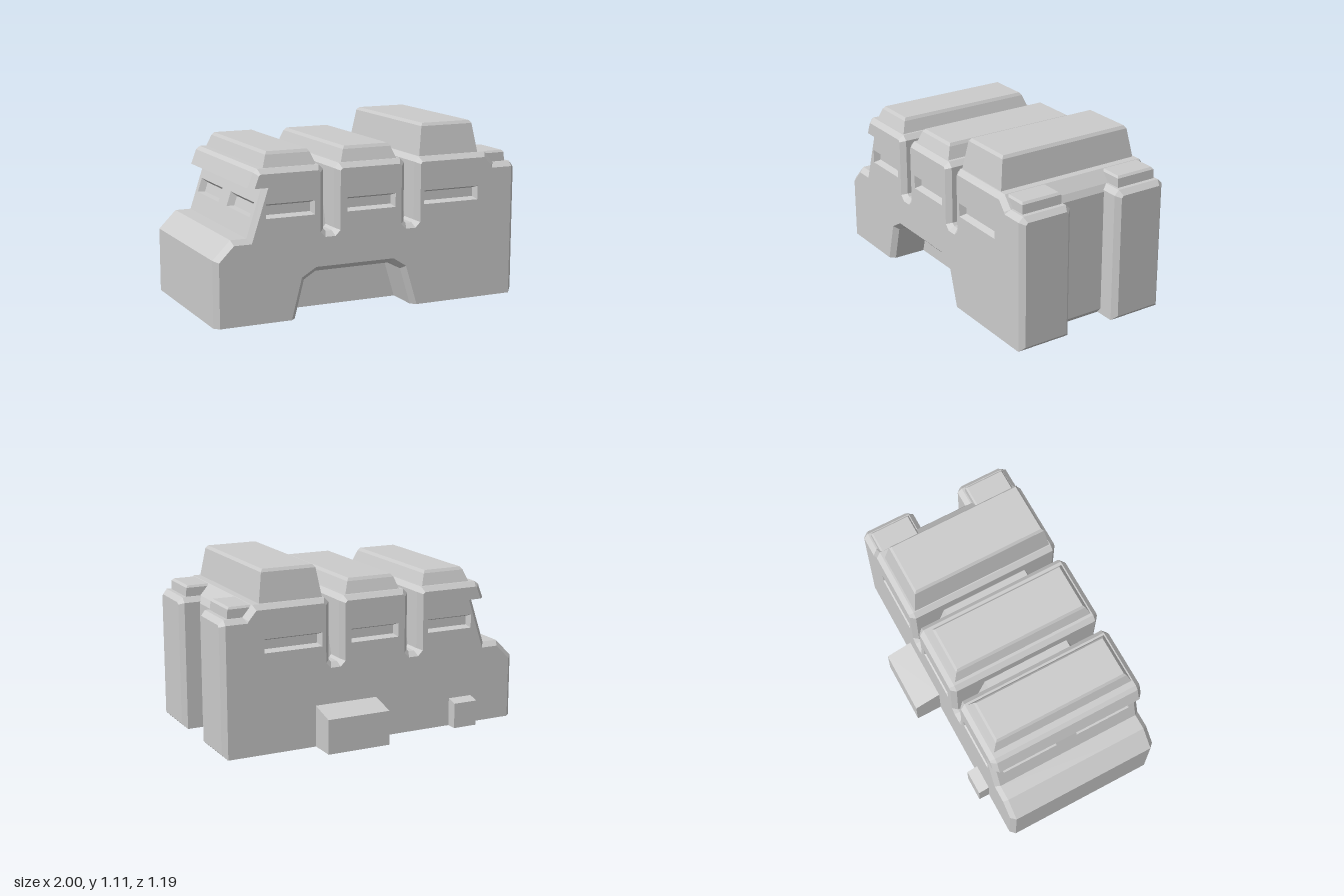
import * as THREE from 'three';

const material = new THREE.MeshStandardMaterial({ color: 0xcccccc, flatShading: true });
const BACK = -0.43, FRONT = 0.59, BEVEL = 0.03, ARCH_BACK = 0.35;

function addMesh(parent, name, geometry) {
  const mesh = new THREE.Mesh(geometry, material);
  mesh.name = name;
  parent.add(mesh);
  return mesh;
}

// Joins loops of [x, y, z] points with quads; convex end caps are optional
function loft(loops, { skip = -1, caps = false } = {}) {
  const out = [];
  const n = loops[0].length;
  for (let k = 0; k + 1 < loops.length; k++) {
    for (let i = 0; i < n; i++) {
      if (i === skip) continue;
      const j = (i + 1) % n, a = loops[k], b = loops[k + 1];
      out.push(...a[i], ...a[j], ...b[j], ...a[i], ...b[j], ...b[i]);
    }
  }
  if (caps) {
    const a = loops[0], b = loops[loops.length - 1];
    for (let i = 1; i + 1 < n; i++) out.push(...a[0], ...a[i + 1], ...a[i], ...b[0], ...b[i], ...b[i + 1]);
  }
  const geometry = new THREE.BufferGeometry();
  geometry.setAttribute('position', new THREE.Float32BufferAttribute(out, 3));
  geometry.computeVertexNormals();
  return geometry;
}

const toShape = pts => new THREE.Shape(pts.map(p => new THREE.Vector2(...p)));
const atZ = (pts, z) => pts.map(([x, y]) => [x, y, z]);
const rect = ([x0, x1, y0, y1], m = 0) =>
  [[x0 + m, y0 + m], [x1 - m, y0 + m], [x1 - m, y1 - m], [x0 + m, y1 - m]];
const level = (y, x0, x1, z0, z1) => [[x0, y, z1], [x1, y, z1], [x1, y, z0], [x0, y, z0]];

// Mitred inset of a counterclockwise outline; ground and lip undersides stay put
function inset(pts, d) {
  const n = pts.length;
  const lines = pts.map((p, i) => {
    const q = pts[(i + 1) % n], dx = q[0] - p[0], dy = q[1] - p[1], l = Math.hypot(dx, dy);
    const fixed = dy === 0 && dx > 0 && (p[1] === 0 || p[1] === 0.8);
    return [-dy / l, dx / l, fixed ? 0 : d];
  });
  return pts.map((p, i) => {
    const [ax, ay, ad] = lines[(i + n - 1) % n], [bx, by, bd] = lines[i];
    const det = ax * by - ay * bx;
    return [p[0] + (ad * by - bd * ay) / det, p[1] + (ax * bd - bx * ad) / det];
  });
}

// Flat panel facing local +z with tapered slit windows sunk into it
function slitPanel(parent, name, outline, slits) {
  const group = new THREE.Group();
  group.name = name;
  const shape = toShape(outline);
  for (const s of slits) {
    shape.holes.push(new THREE.Path(rect(s).map(p => new THREE.Vector2(...p))));
    addMesh(group, 'slitWalls', loft([atZ(rect(s), 0), atZ(rect(s, 0.015), -0.04)]));
    addMesh(group, 'slitBack', new THREE.ShapeGeometry(toShape(rect(s, 0.015)))).position.z = -0.04;
  }
  addMesh(group, 'panel', new THREE.ShapeGeometry(shape));
  parent.add(group);
  return group;
}

export function createModel() {
  const model = new THREE.Group();
  model.name = 'bunker';

  // Side outline, starting at the top of the sloped end wall
  const arch = [[-0.49, 0], [-0.43, 0.23], [-0.355, 0.275], [0.14, 0.275], [0.21, 0.23], [0.28, 0]];
  const endWall = [[-0.695, 0.8], [-0.79, 0.51], [-0.89, 0.51], [-1, 0.4], [-1, 0]];
  const slot = (l, r) => [[r + 0.03, 0.91], [r, 0.88], [r, 0.525], [r - 0.015, 0.51],
    [l + 0.015, 0.51], [l, 0.525], [l, 0.88], [l - 0.03, 0.91]];
  const slots = [[0.23, 0.3], [-0.305, -0.235]];
  const upper = [[0.84, 0], [0.87, 0.035], [0.87, 0.8], [0.85, 0.84], [0.79, 0.91],
    ...slots.flatMap(s => slot(...s)), [-0.72, 0.91], [-0.745, 0.89], [-0.78, 0.8]];
  const plain = [...endWall, ...upper];
  const arched = [...endWall, ...arch, ...upper];
  const plainIn = inset(plain, BEVEL), archedIn = inset(arched, BEVEL);

  // Hull: bevelled rims, straight skin, and the shallow arch in the front
  addMesh(model, 'backBevel', loft([atZ(plainIn, BACK), atZ(plain, BACK + BEVEL)]));
  addMesh(model, 'backSkin', loft([atZ(plain, BACK + BEVEL), atZ(plain, ARCH_BACK)], { skip: 0 }));
  addMesh(model, 'frontSkin', loft([atZ(arched, ARCH_BACK), atZ(arched, FRONT - BEVEL)], { skip: 0 }));
  addMesh(model, 'frontBevel', loft([atZ(arched, FRONT - BEVEL), atZ(archedIn, FRONT)]));
  addMesh(model, 'archBackWall', new THREE.ShapeGeometry(toShape(arch))).position.z = ARCH_BACK;

  // Front and back walls with slit windows
  const slits = [[-0.68, -0.37], [-0.16, 0.16], [0.355, 0.73]].map(([a, b]) => [a, b, 0.62, 0.705]);
  slitPanel(model, 'frontWall', archedIn, slits).position.z = FRONT;
  const back = slitPanel(model, 'backWall', plainIn.map(([x, y]) => [-x, y]),
    slits.map(([a, b, c, d]) => [-b, -a, c, d]));
  back.rotation.y = Math.PI;
  back.position.z = BACK;

  // Sloped end wall with two slits
  const up = new THREE.Vector3(0.095, 0.29, 0), length = up.length();
  up.normalize();
  const along = new THREE.Vector3(0, 0, 1);
  const slope = slitPanel(model, 'slopedWall', rect([BACK + BEVEL, FRONT - BEVEL, 0, length]),
    [[-0.36, 0.01, 0.12, 0.21], [0.15, 0.52, 0.12, 0.21]]);
  slope.quaternion.setFromRotationMatrix(
    new THREE.Matrix4().makeBasis(along, up, along.clone().cross(up)));
  slope.position.set(-0.79, 0.51, 0);

  // Fillers inside the two roof slots
  for (const [l, r] of slots) {
    addMesh(model, 'slotFiller', loft([level(0.5, l, r, -0.3, 0.45), level(0.8, l, r, -0.21, 0.36)], { caps: true }));
  }

  // Roof blocks with chamfered tops: centre, half width, height
  for (const [c, w, h] of [[-0.515, 0.17, 1], [-0.003, 0.187, 1], [0.54, 0.205, 1.105]]) {
    const ring = (y, m) => level(y, c - w + m, c + w - m, -0.39 + m, 0.555 - m);
    addMesh(model, 'roofBlock', loft([ring(0.9, 0), ring(h - 0.018, 0.03), ring(h, 0.043)], { caps: true }));
  }

  // End columns either side of the channel, each with a small cap block
  for (const [z0, z1] of [[-0.43, -0.08], [0.24, 0.59]]) {
    const section = toShape([[-z1, 0], [-z0, 0], [-z0, 0.81], [-z0 - 0.03, 0.84], [-z1 + 0.03, 0.84], [-z1, 0.81]]);
    const column = addMesh(model, 'endColumn', new THREE.ExtrudeGeometry(section, {
      depth: 0.2, bevelThickness: BEVEL, bevelSize: BEVEL, bevelOffset: -BEVEL, bevelSegments: 1,
    }));
    column.rotation.y = Math.PI / 2;
    column.position.x = 0.77;
    addMesh(model, 'columnCap', loft([level(0.83, 0.79, 0.945, z0 + 0.04, z1 - 0.045),
      level(0.895, 0.79, 0.94, z0 + 0.04, z1 - 0.045),
      level(0.908, 0.79, 0.928, z0 + 0.05, z1 - 0.055)], { caps: true }));
  }

  // Back boxes with sloping lids: x range, rear z, rear and inner heights
  for (const [x0, x1, z, low, high] of [[-0.01, 0.4, -0.6, 0.215, 0.26], [-0.69, -0.53, -0.5, 0.16, 0.18]]) {
    const lid = [[x0, high, -0.42], [x1, high, -0.42], [x1, low, z], [x0, low, z]];
    addMesh(model, 'backBox', loft([level(0, x0, x1, z, -0.42), lid], { caps: true }));
  }
  return model;
}
